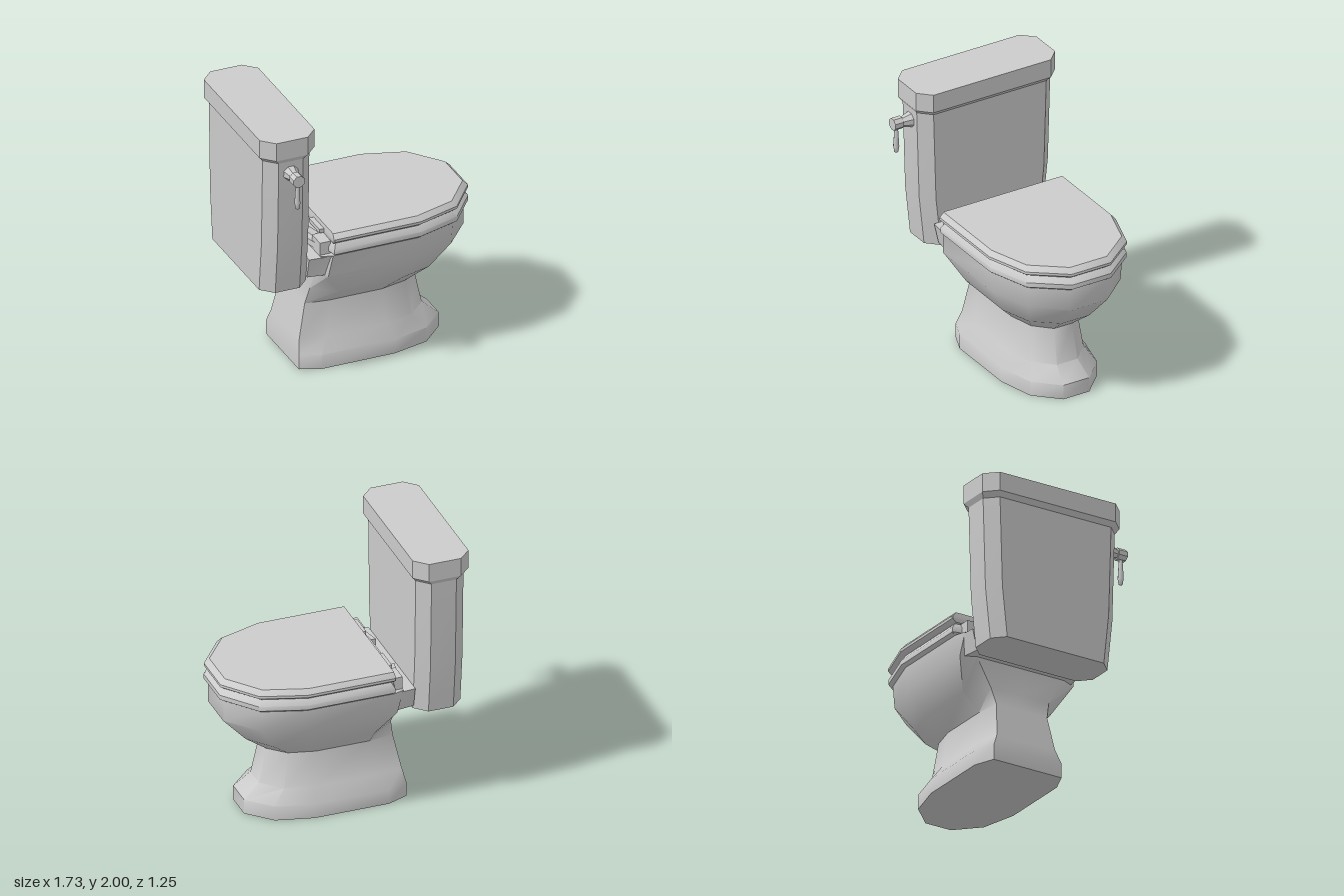
import * as THREE from 'three';
import { toCreasedNormals } from 'three/addons/utils/BufferGeometryUtils.js';

const MID = -0.06; // z of the symmetry plane
const grey = new THREE.MeshStandardMaterial({ color: 0xcccccc });

// Closed skin over horizontal rings listed from bottom to top
function loft(rings, crease) {
  const n = rings[0].length, pos = [], idx = [];
  rings.forEach(r => r.forEach(p => pos.push(...p)));
  for (let i = 0; i < rings.length - 1; i++) {
    for (let j = 0; j < n; j++) {
      const a = i * n + j, b = i * n + (j + 1) % n;
      idx.push(a, b, b + n, a, b + n, a + n);
    }
  }
  [0, rings.length - 1].forEach(i => {
    const c = pos.length / 3, r = rings[i];
    pos.push(...[0, 1, 2].map(k => r.reduce((s, p) => s + p[k], 0) / n));
    for (let j = 0; j < n; j++) {
      const a = i * n + j, b = i * n + (j + 1) % n;
      idx.push(...(i ? [c, a, b] : [c, b, a]));
    }
  });
  const g = new THREE.BufferGeometry();
  g.setAttribute('position', new THREE.Float32BufferAttribute(pos, 3));
  g.setIndex(idx);
  return toCreasedNormals(g, crease);
}

// Mirrors half an outline of [x, half width] points, back to front
function ring(y, half) {
  const left = half.map(([x, w]) => [x, y, MID + w]);
  const right = half.filter(p => p[1] > 0).reverse().map(([x, w]) => [x, y, MID - w]);
  return [...left, ...right];
}

// Outline with a tapered back and a rounded front
function bowlRing([y, back, corner, front, width, backWidth]) {
  const m = corner + 0.56 * (front - corner), d = front - m;
  return ring(y, [
    [back, 0], [back, backWidth], [corner, width], [m, width],
    [m + d * 0.62, width * 0.8], [front, width * 0.31],
  ]);
}

// Rectangle with cut corners
function tankRing([y, x0, x1, w, cut]) {
  return ring(y, [[x0, w - cut], [x0 + cut, w], [x1 - cut, w], [x1, w - cut]]);
}

export function createModel() {
  const model = new THREE.Group();
  const add = (name, geometry, x = 0, y = 0, z = 0) => {
    const mesh = new THREE.Mesh(geometry, grey);
    mesh.name = name;
    mesh.position.set(x, y, z);
    model.add(mesh);
    return mesh;
  };

  // Pedestal flowing into the bowl: y, back, corner, front, half width, back half width
  add('bowl', loft([
    [0, -0.48, -0.33, 0.66, 0.34, 0.28],
    [0.11, -0.48, -0.33, 0.66, 0.34, 0.28],
    [0.21, -0.46, -0.26, 0.54, 0.27, 0.24],
    [0.47, -0.405, -0.225, 0.485, 0.235, 0.21],
    [0.6, -0.38, -0.21, 0.65, 0.36, 0.24],
    [0.8, -0.39, -0.34, 0.83, 0.47, 0.36],
    [0.965, -0.39, -0.31, 0.83, 0.485, 0.46],
  ].map(bowlRing), 0.8));

  // Shelf joining the bowl to the tank
  add('rearDeck', loft([
    ring(0.8, [[-0.48, 0.42], [-0.28, 0.45]]),
    ring(0.955, [[-0.48, 0.455], [-0.28, 0.475]]),
  ], 0.4));

  // Seat and lid
  add('seat', loft([
    [0.965, -0.36, -0.29, 0.83, 0.485, 0.15],
    [0.985, -0.38, -0.31, 0.86, 0.51, 0.16],
    [1.02, -0.38, -0.31, 0.86, 0.51, 0.16],
    [1.06, -0.37, -0.29, 0.82, 0.48, 0.15],
  ].map(bowlRing), 0.7));
  add('lid', loft([
    [1.065, -0.31, -0.305, 0.83, 0.49, 0.485],
    [1.085, -0.315, -0.31, 0.857, 0.515, 0.51],
    [1.105, -0.315, -0.31, 0.857, 0.515, 0.51],
    [1.14, -0.31, -0.3, 0.82, 0.485, 0.48],
  ].map(bowlRing), 0.7));

  // Hinges on both sides
  for (const s of [1, -1]) {
    const plan = [[-0.43, 0.18], [-0.37, 0.44], [-0.28, 0.44], [-0.28, 0.18]]
      .map(([x, w]) => [x, MID + s * w]);
    if (s < 0) plan.reverse();
    add('hingeWing', loft([0.975, 1.02].map(y => plan.map(([x, z]) => [x, y, z])), 0.4));
    add('hingeBar', new THREE.BoxGeometry(0.06, 0.03, 0.18), -0.32, 1.095, MID + s * 0.25);
    add('hingePost', new THREE.BoxGeometry(0.08, 0.11, 0.14), -0.35, 1.005, MID + s * 0.37);
  }

  // Tank and its cover
  add('tank', loft([
    [0.77, -0.835, -0.48, 0.485, 0.085],
    [1.15, -0.835, -0.48, 0.525, 0.085],
    [1.83, -0.835, -0.48, 0.545, 0.085],
  ].map(tankRing), 0.3));
  add('tankCover', loft([
    [1.825, -0.835, -0.48, 0.545, 0.085],
    [1.86, -0.865, -0.45, 0.567, 0.088],
    [2, -0.865, -0.45, 0.567, 0.088],
  ].map(tankRing), 0.3));

  // Flush handle: tapered stem, eight-sided knob and hanging lever
  const flat = (top, bottom, length) => toCreasedNormals(
    new THREE.CylinderGeometry(top, bottom, length, 8).rotateY(Math.PI / 8).rotateX(Math.PI / 2), 0.4);
  add('handleStem', flat(0.032, 0.06, 0.09), -0.657, 1.73, 0.52);
  add('handleKnob', flat(0.046, 0.046, 0.07), -0.657, 1.73, 0.592);
  const lever = [[0, -0.11], [0.014, -0.105], [0.022, -0.06], [0.012, 0.1]]
    .map(p => new THREE.Vector2(...p));
  add('handleLever', new THREE.LatheGeometry(lever, 8), -0.657, 1.61, 0.595);
  return model;
}
